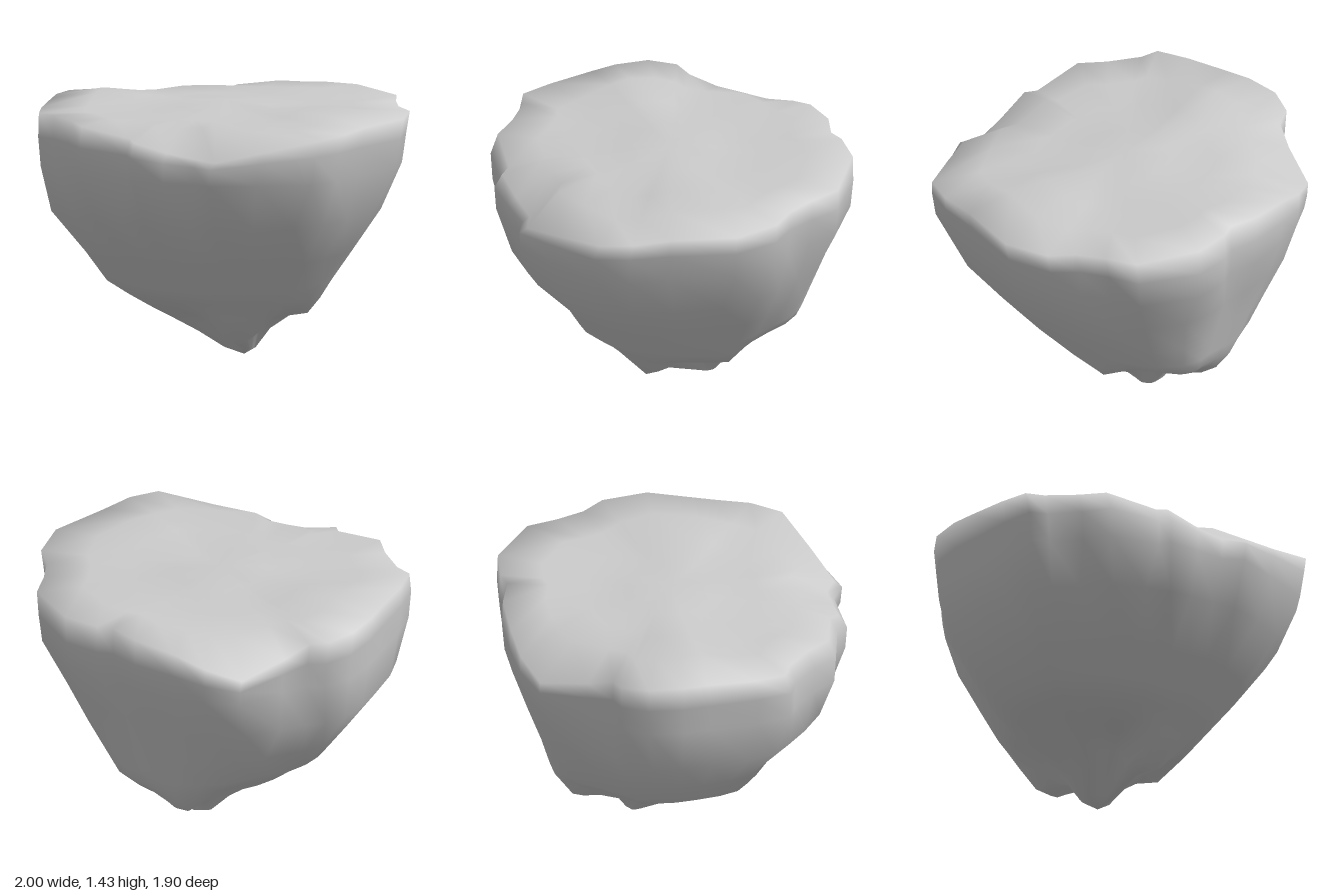
import * as THREE from 'three';
import { mergeVertices } from 'three/addons/utils/BufferGeometryUtils.js';

// Widest outline of the rock as x, z pairs, from the left side round the front
const OUTLINE = [
  [1, -0.16], [0.95, 0.2], [0.94, 0.42], [0.88, 0.6], [0.62, 0.77], [0.39, 0.91], [0.27, 0.87],
  [0.1, 0.91], [-0.08, 0.95], [-0.13, 0.9], [-0.42, 0.9], [-0.54, 0.79], [-0.7, 0.69], [-0.8, 0.67],
  [-0.87, 0.5], [-0.94, 0.24], [-0.98, 0.1], [-1, -0.09], [-0.95, -0.24], [-0.86, -0.29],
  [-0.8, -0.43], [-0.71, -0.69], [-0.55, -0.8], [-0.38, -0.86], [-0.15, -0.91], [0.02, -0.89],
  [0.1, -0.93], [0.3, -0.95], [0.62, -0.8], [0.7, -0.64], [0.79, -0.5], [0.91, -0.4],
];
const N = OUTLINE.length;

// Same outline with the notches softened, for the walls below the rim
const SOFT = OUTLINE.map(([x, z], j) => {
  const a = OUTLINE[(j + N - 1) % N], b = OUTLINE[(j + 1) % N];
  return [(a[0] + 2 * x + b[0]) / 4 * 1.02, (a[1] + 2 * z + b[1]) / 4 * 1.02];
});

// Scales of the flat top's rings, centre to start of the rounded rim
const TOP = [0, 0.25, 0.5, 0.74];

// Side rings: height, scale toward +x, -x, +z, -z, and shift in z
const SIDE = [
  [1.37, 1, 1, 0.955, 0.99, 0],
  [1.24, 0.975, 0.985, 1, 0.995, 0],
  [1.08, 0.95, 0.97, 0.99, 0.98, 0],
  [0.83, 0.84, 0.93, 0.91, 0.87, 0],
  [0.6, 0.67, 0.77, 0.68, 0.79, 0],
  [0.44, 0.54, 0.65, 0.58, 0.74, 0],
  [0.36, 0.47, 0.53, 0.46, 0.71, 0],
  [0.29, 0.4, 0.4, 0.36, 0.65, 0],
  [0.21, 0.27, 0.29, 0.32, 0.48, -0.08],
  [0.13, 0.16, 0.19, 0.27, 0.22, -0.15],
  [0.04, 0.07, 0.11, 0.08, 0.06, -0.2],
  [0, 0, 0, 0, 0, -0.21],
];

const bump = (x, z, cx, cz, r) => Math.exp(-((x - cx) ** 2 + (z - cz) ** 2) / (r * r));

// Gently uneven ground, lower toward the front
function topHeight(x, z) {
  return 1.365 - 0.02 * z - 0.015 * x
    + 0.065 * bump(x, z, -0.66, 0.08, 0.22)
    + 0.065 * bump(x, z, 0.62, 0.02, 0.22)
    + 0.05 * bump(x, z, -0.05, 0, 0.22)
    + 0.02 * bump(x, z, 0.2, -0.75, 0.3);
}

// Rounded shoulders where the rim falls away, at the front and one back corner
function rimDrop(x, z) {
  return 0.14 * bump(x, z, 0.33, 0.92, 0.45) + 0.16 * bump(x, z, -0.74, -0.66, 0.33);
}

// Hanging points (negative) and clefts (positive) on the underside
function underside(x, z) {
  return -0.1 * bump(x, z, 0.16, 0.17, 0.12)
    + 0.11 * bump(x, z, -0.05, 0.14, 0.11)
    + 0.09 * bump(x, z, 0.2, -0.1, 0.09)
    + 0.12 * bump(x, z, 0.16, -0.45, 0.14)
    + 0.08 * bump(x, z, -0.07, -0.36, 0.08)
    - 0.06 * bump(x, z, 0.39, -0.2, 0.1)
    - 0.09 * bump(x, z, -0.19, -0.53, 0.1)
    - 0.04 * bump(x, z, -0.42, -0.15, 0.1);
}

export function createModel() {
  const rings = TOP.map((s) =>
    OUTLINE.map(([x, z]) => [x * s, topHeight(x * s, z * s), z * s]));
  SIDE.forEach(([y, px, nx, pz, nz, dz], i) => {
    rings.push((i < 3 ? OUTLINE : SOFT).map(([ox, oz]) => {
      const x = ox * (ox > 0 ? px : nx);
      const z = oz * (oz > 0 ? pz : nz) + dz;
      const drop = rimDrop(ox, oz);
      if (i === 0) return [x, topHeight(x, z) - drop, z];
      if (i === 1) return [x, y - 0.5 * drop, z];
      const low = y > 0.05 && y < 0.5;
      return [x, low ? y + underside(x, z) : y, z];
    }));
  });

  // Join neighbouring rings from the top centre down to the lowest point
  const index = [];
  for (let i = 0; i < rings.length - 1; i++) {
    for (let j = 0; j < N; j++) {
      const k = (j + 1) % N;
      const a = i * N + j, b = i * N + k, c = a + N, d = b + N;
      if (i > 0) index.push(a, b, c);
      if (i < rings.length - 2) index.push(b, d, c);
    }
  }
  let geometry = new THREE.BufferGeometry();
  geometry.setAttribute('position', new THREE.Float32BufferAttribute(rings.flat(2), 3));
  geometry.setIndex(index);
  geometry = mergeVertices(geometry, 1e-5);
  geometry.computeVertexNormals();

  const rock = new THREE.Mesh(geometry, new THREE.MeshStandardMaterial({ color: 0xcccccc }));
  rock.name = 'floatingRock';
  const model = new THREE.Group();
  model.name = 'rockIsland';
  model.add(rock);
  return model;
}
